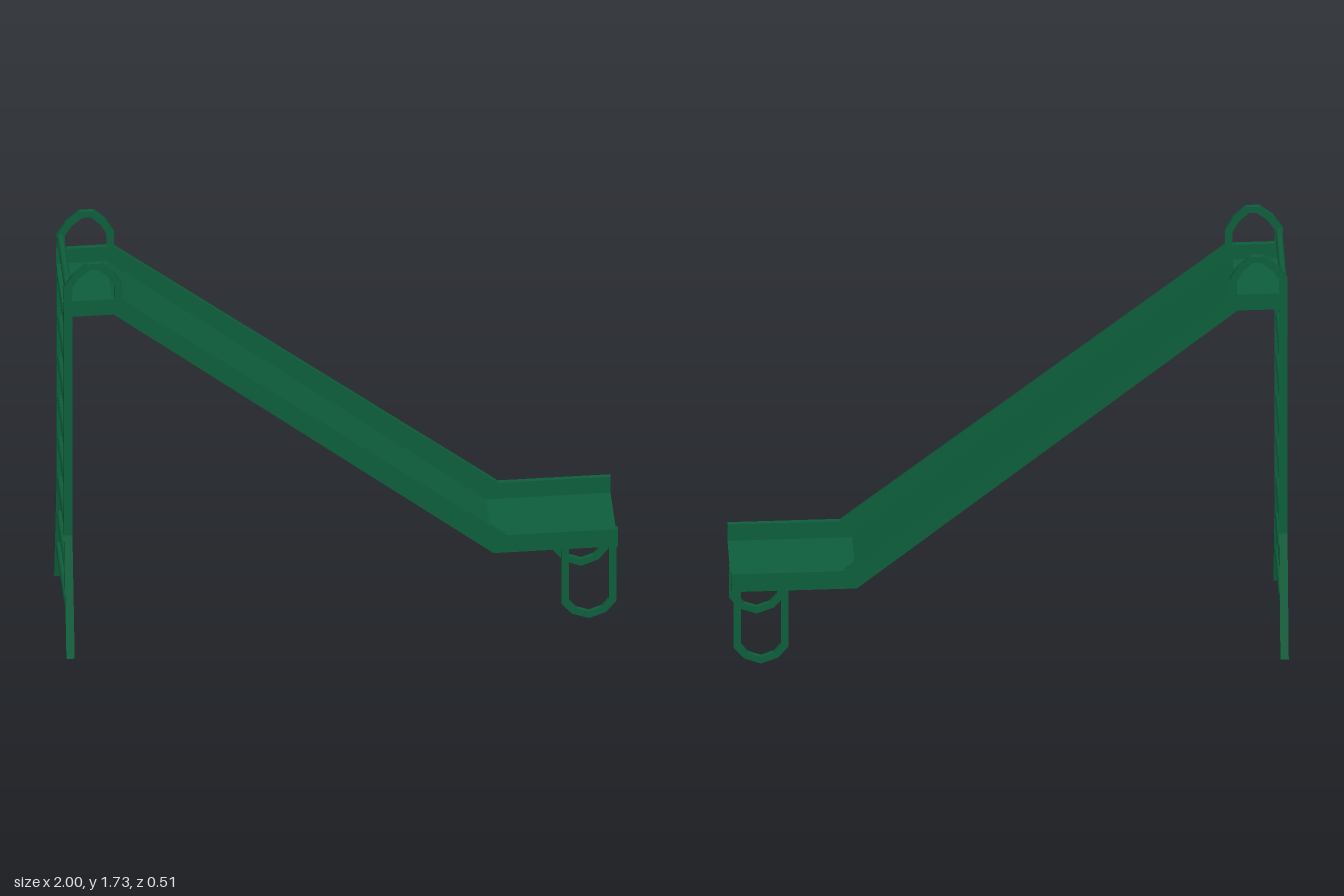
import * as THREE from 'three';

const paint = new THREE.MeshStandardMaterial({ color: 0x0e5f3c });
paint.name = 'green paint';

// Prism of an outline in the xy plane, centred on z
function prism(name, outline, depth) {
  const shape = new THREE.Shape(outline.map(([x, y]) => new THREE.Vector2(x, y)));
  const geometry = new THREE.ExtrudeGeometry(shape, { depth, bevelEnabled: false });
  geometry.translate(0, 0, -depth / 2);
  const mesh = new THREE.Mesh(geometry, paint);
  mesh.name = name;
  return mesh;
}

// Flat bar of constant width with mitred corners along a path
function bar(name, path, width, depth) {
  const p = path.map(([x, y]) => new THREE.Vector2(x, y));
  const normal = (a, b) => new THREE.Vector2(a.y - b.y, b.x - a.x).normalize();
  const left = [], right = [];
  p.forEach((v, i) => {
    const n1 = normal(p[Math.max(i - 1, 0)], p[Math.max(i, 1)]);
    const n2 = i < p.length - 1 ? normal(v, p[i + 1]) : n1;
    const m = n1.clone().add(n2).normalize();
    m.multiplyScalar(width / 2 / m.dot(n1));
    left.push([v.x + m.x, v.y + m.y]);
    right.unshift([v.x - m.x, v.y - m.y]);
  });
  return prism(name, [...left, ...right], depth);
}

export function createModel() {
  const model = new THREE.Group();
  model.name = 'playground slide';
  const sideZ = 0.155, ladderX = -0.984;

  // Chute floor: platform, slope and run-out
  model.add(bar('chuteFloor',
    [[-1, 1.502], [-0.82, 1.502], [0.55, 0.328], [1, 0.328]], 0.006, 0.3));

  for (const s of [1, -1]) {
    const side = new THREE.Group();
    side.name = s > 0 ? 'leftSide' : 'rightSide';

    // Chute wall
    const wall = prism('chuteWall', [[-1, 1.5], [-0.82, 1.5], [0.55, 0.325], [1, 0.325],
      [1, 0.403], [0.595, 0.403], [-0.795, 1.57], [-1, 1.57]], 0.015);
    wall.position.z = s * sideZ;

    // Ladder post, splayed at the foot
    const post = bar('ladderPost',
      [[s * 0.247, 0.02], [s * sideZ, 0.51], [s * sideZ, 1.63]], 0.016, 0.03);
    post.rotation.y = -Math.PI / 2;
    post.position.x = ladderX;

    // Arched handle
    const handle = bar('handle', [[-0.985, 1.56], [-0.985, 1.63], [-0.955, 1.68], [-0.91, 1.72],
      [-0.87, 1.72], [-0.83, 1.68], [-0.804, 1.63], [-0.804, 1.54]], 0.027, 0.014);
    handle.position.z = s * sideZ;

    // Looped front leg
    const leg = bar('frontLeg', [[0.809, 0.36], [0.809, 0.083], [0.841, 0.042], [0.895, 0.021],
      [0.948, 0.042], [0.98, 0.083], [0.98, 0.36]], 0.027, 0.014);
    leg.position.z = s * sideZ;

    side.add(wall, post, handle, leg);
    model.add(side);
  }

  // Ladder rungs
  const heights = [0.186, 0.35];
  for (let i = 0; i < 7; i++) heights.push(0.53 + i * 0.182);
  for (const y of heights) {
    const halfLength = sideZ + Math.max(0, 0.51 - y) * 0.194;
    const rung = new THREE.Mesh(
      new THREE.CylinderGeometry(0.0135, 0.0135, 2 * halfLength, 10), paint);
    rung.name = 'rung';
    rung.rotation.x = Math.PI / 2;
    rung.position.set(ladderX, y, 0);
    model.add(rung);
  }
  return model;
}
